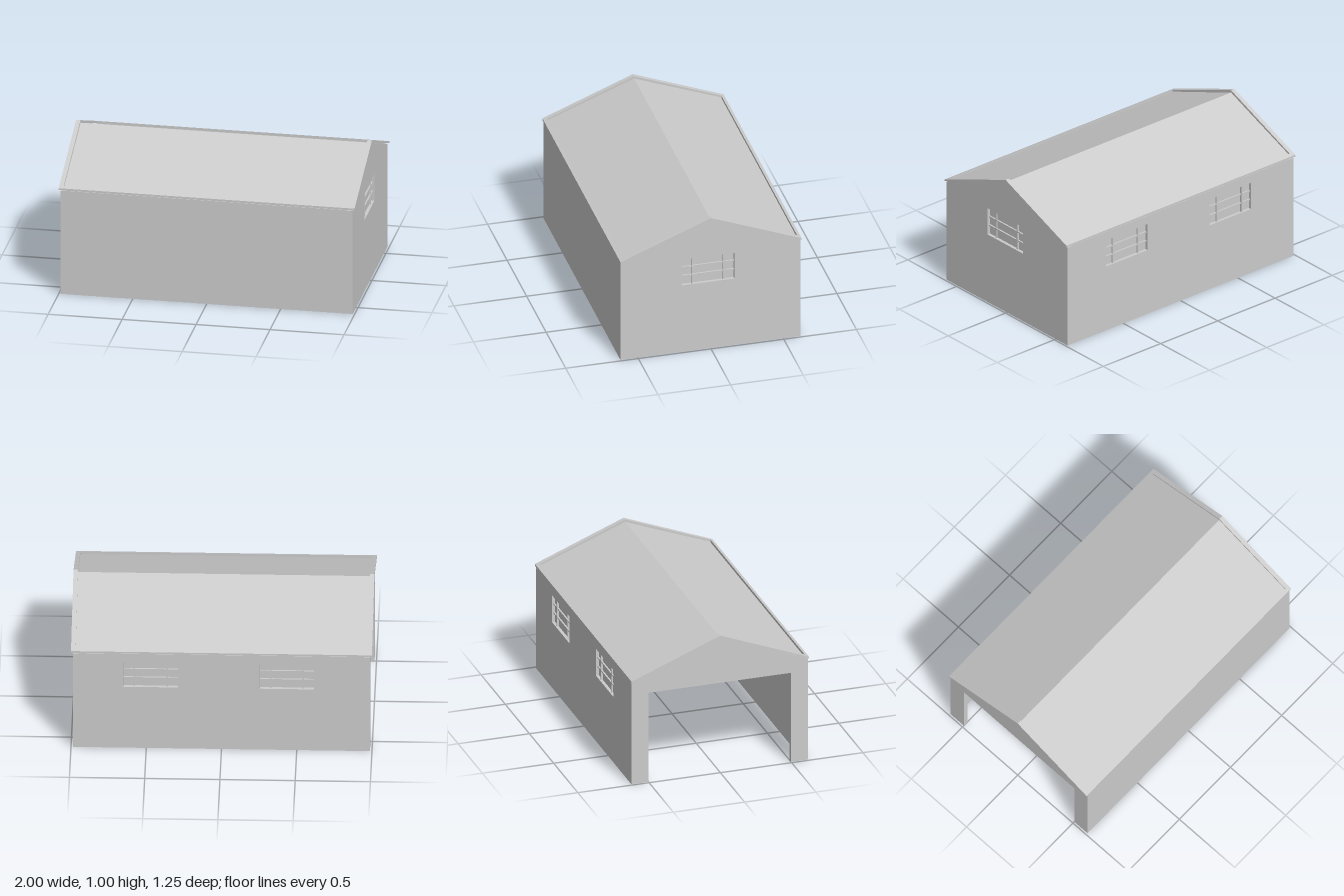
import * as THREE from 'three';

const WALL = 0.036, RECESS = 0.022;
const HALF_X = 0.987, HALF_Z = 0.62;
const EAVE = 0.737, APEX = 0.983, CEILING = 0.73;
const material = new THREE.MeshStandardMaterial({ color: 0xcccccc, flatShading: true });

function add(parent, geometry, name, x = 0, y = 0, z = 0) {
  const mesh = new THREE.Mesh(geometry, material);
  mesh.name = name;
  mesh.position.set(x, y, z);
  parent.add(mesh);
  return mesh;
}

const shapeOf = (points) => new THREE.Shape(points.map(([x, y]) => new THREE.Vector2(x, y)));
const extrude = (shape, depth) => new THREE.ExtrudeGeometry(shape, { depth, bevelEnabled: false });

// Extrudes a (z, y) profile along x from x0 to x1
function extrudeAlongX(points, x0, x1) {
  const geometry = extrude(shapeOf(points.map(([z, y]) => [-z, y])), x1 - x0);
  return geometry.rotateY(Math.PI / 2).translate(x0, 0, 0);
}

// Bars and border of one recessed window; the outer wall face is z = 0
function addWindow(wall, { x0, x1, y0, y1 }) {
  const group = new THREE.Group();
  group.name = 'window';
  const w = x1 - x0, h = y1 - y0, bar = 0.009, depth = 0.012;
  const cx = (x0 + x1) / 2, cy = (y0 + y1) / 2, z = -RECESS + depth / 2;
  for (const f of [0.2, 0.8]) {
    add(group, new THREE.BoxGeometry(bar, h, depth), 'verticalBar', x0 + w * f, cy, z);
  }
  for (const f of [1 / 3, 2 / 3]) {
    add(group, new THREE.BoxGeometry(w, bar, depth), 'horizontalBar', cx, y0 + h * f, z - 0.001);
  }
  wall.add(group);
}

// Wall with its outer face on z = 0: a pierced outer layer over a solid inner layer
function makeWall(name, outline, windows) {
  const wall = new THREE.Group();
  wall.name = name;
  if (!windows.length) {
    add(wall, extrude(shapeOf(outline), WALL), name + 'Panel', 0, 0, -WALL);
    return wall;
  }
  const pierced = shapeOf(outline);
  for (const { x0, x1, y0, y1 } of windows) {
    pierced.holes.push(new THREE.Path([[x0, y0], [x0, y1], [x1, y1], [x1, y0]]
      .map(([x, y]) => new THREE.Vector2(x, y))));
  }
  add(wall, extrude(pierced, RECESS), name + 'OuterLayer', 0, 0, -RECESS);
  add(wall, extrude(shapeOf(outline), WALL - RECESS), name + 'InnerLayer', 0, 0, -WALL);
  windows.forEach((win) => addWindow(wall, win));
  return wall;
}

export function createModel() {
  const model = new THREE.Group();
  model.name = 'garage';

  // Long walls: plain front, back with two windows (its local x is mirrored)
  const innerX = HALF_X - WALL;
  const longOutline = [[-innerX, 0], [innerX, 0], [innerX, EAVE], [-innerX, EAVE]];
  const front = makeWall('frontWall', longOutline, []);
  front.position.z = HALF_Z;
  const back = makeWall('backWall', longOutline, [
    { x0: -0.653, x1: -0.289, y0: 0.478, y1: 0.674 },
    { x0: 0.254, x1: 0.615, y0: 0.478, y1: 0.674 },
  ]);
  back.rotation.y = Math.PI;
  back.position.z = -HALF_Z;

  // Gable walls: one with a window, one with the doorway
  const gableTop = [[HALF_Z, EAVE - 0.002], [0, APEX - 0.002], [-HALF_Z, EAVE - 0.002]];
  const left = makeWall('windowGableWall', [[-HALF_Z, 0], [HALF_Z, 0], ...gableTop],
    [{ x0: -0.198, x1: 0.165, y0: 0.507, y1: 0.703 }]);
  left.rotation.y = Math.PI / 2;
  left.position.x = HALF_X;
  const door = 0.5, doorTop = 0.65;
  const right = makeWall('doorwayGableWall', [
    [-HALF_Z, 0], [-door, 0], [-door, doorTop], [door, doorTop], [door, 0], [HALF_Z, 0],
    ...gableTop,
  ], []);
  right.rotation.y = -Math.PI / 2;
  right.position.x = -HALF_X;
  model.add(front, back, left, right);

  // Roof body with a flat ceiling below
  const roofZ = 0.615;
  add(model, extrudeAlongX([[roofZ, CEILING], [roofZ, EAVE + 0.002], [0, APEX],
    [-roofZ, EAVE + 0.002], [-roofZ, CEILING]], -0.972, 0.972), 'roof');

  // Raised rim around the roof: gable trims and eave trims
  const rimZ = 0.623, rimTop = 1.0, slope = 0.395, rim = 0.03;
  const top = (z) => rimTop - slope * Math.abs(z);
  const low = (z) => top(z) - 0.013;
  for (const s of [-1, 1]) {
    const x0 = s > 0 ? 1 - rim : -1;
    add(model, extrudeAlongX([[rimZ, low(rimZ)], [rimZ, top(rimZ)], [0, top(0)],
      [-rimZ, top(rimZ)], [-rimZ, low(rimZ)], [0, low(0) - 0.006]], x0, x0 + rim), 'gableTrim');
    const z0 = s * 0.6, z1 = s * rimZ;
    add(model, extrudeAlongX([[z0, low(z0) - 0.008], [z0, top(z0)], [z1, top(z1)],
      [z1, low(z1)]], -1 + rim, 1 - rim), 'eaveTrim');
  }
  return model;
}
